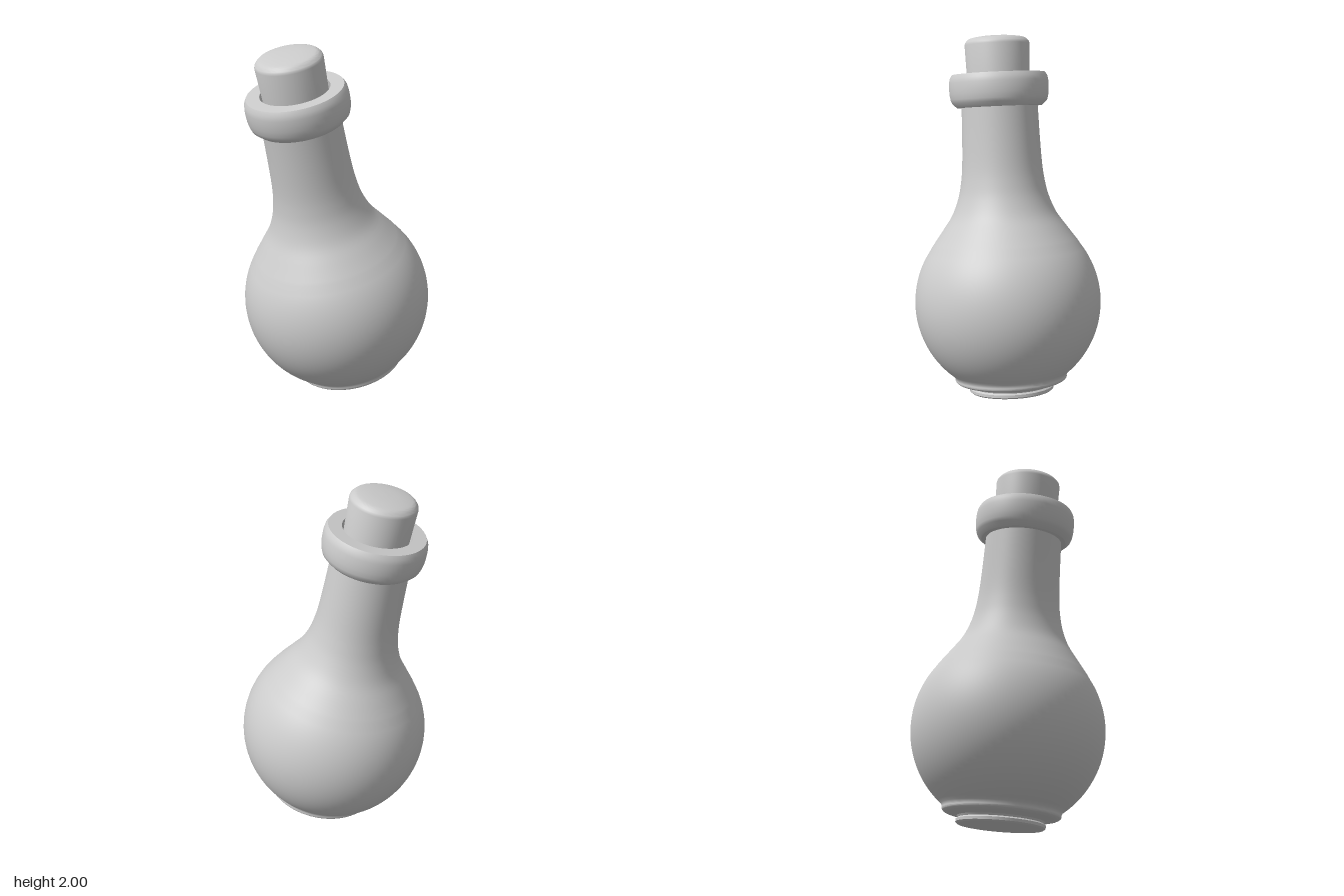
import * as THREE from 'three';
import { toCreasedNormals } from 'three/addons/utils/BufferGeometryUtils.js';

const material = new THREE.MeshStandardMaterial({ color: 0xcccccc });
const R = 0.518; // radius of the round belly
const SEGMENTS = 72;

const toPoints = (list) => list.map(([r, y]) => new THREE.Vector2(r, y));
const spline = (list, n) => new THREE.SplineCurve(toPoints(list)).getPoints(n);

// Profiles run upwards on the outside: [radius, height above belly centre]
function turned(name, points) {
  const geometry = toCreasedNormals(new THREE.LatheGeometry(points, SEGMENTS), 0.6);
  const mesh = new THREE.Mesh(geometry, material);
  mesh.name = name;
  return mesh;
}

function bellyArc(y0, y1, n) {
  const a0 = Math.asin(y0 / R), a1 = Math.asin(y1 / R);
  return Array.from({ length: n + 1 }, (_, i) => {
    const a = a0 + (a1 - a0) * i / n;
    return new THREE.Vector2(R * Math.cos(a), R * Math.sin(a));
  });
}

export function createModel() {
  const model = new THREE.Group();
  model.name = 'corkedFlask';

  const flask = new THREE.Group();
  flask.name = 'tiltedFlask';
  flask.position.y = 0.54;
  flask.quaternion.setFromUnitVectors(
    new THREE.Vector3(0, 1, 0),
    new THREE.Vector3(-0.16, 0.984, 0.082).normalize()
  );
  model.add(flask);

  // Foot disc, groove, ridge, round belly and flared neck
  const foot = toPoints([[0, -0.505], [0.226, -0.505], [0.236, -0.497], [0.236, -0.482], [0.226, -0.474]]);
  const ridge = spline([[0.232, -0.464], [0.262, -0.457], [0.295, -0.45], [0.312, -0.438], [0.313, -0.425]], 12);
  const belly = bellyArc(-0.408, 0.3, 36);
  const neck = spline([[0.405, 0.328], [0.346, 0.41], [0.29, 0.492], [0.252, 0.585],
    [0.233, 0.67], [0.222, 0.766], [0.215, 0.92], [0.21, 1.12]], 28);
  flask.add(turned('bottle', [...foot, ...ridge, ...belly, ...neck]));

  // Thick lip ring with a bevelled underside and an open mouth
  flask.add(turned('lipRing', toPoints([
    [0.2, 1.085], [0.235, 1.085], [0.262, 1.11], [0.269, 1.13], [0.274, 1.16], [0.275, 1.19],
    [0.274, 1.22], [0.27, 1.245], [0.258, 1.266], [0.186, 1.266], [0.184, 1.1], [0, 1.1]
  ])));

  // Cork, slightly tapered, with a softly domed top
  flask.add(turned('cork', [
    ...toPoints([[0, 1.09], [0.168, 1.09], [0.179, 1.425]]),
    ...spline([[0.176, 1.437], [0.163, 1.452], [0.143, 1.462], [0.08, 1.471], [0, 1.474]], 14)
  ]));

  return model;
}
